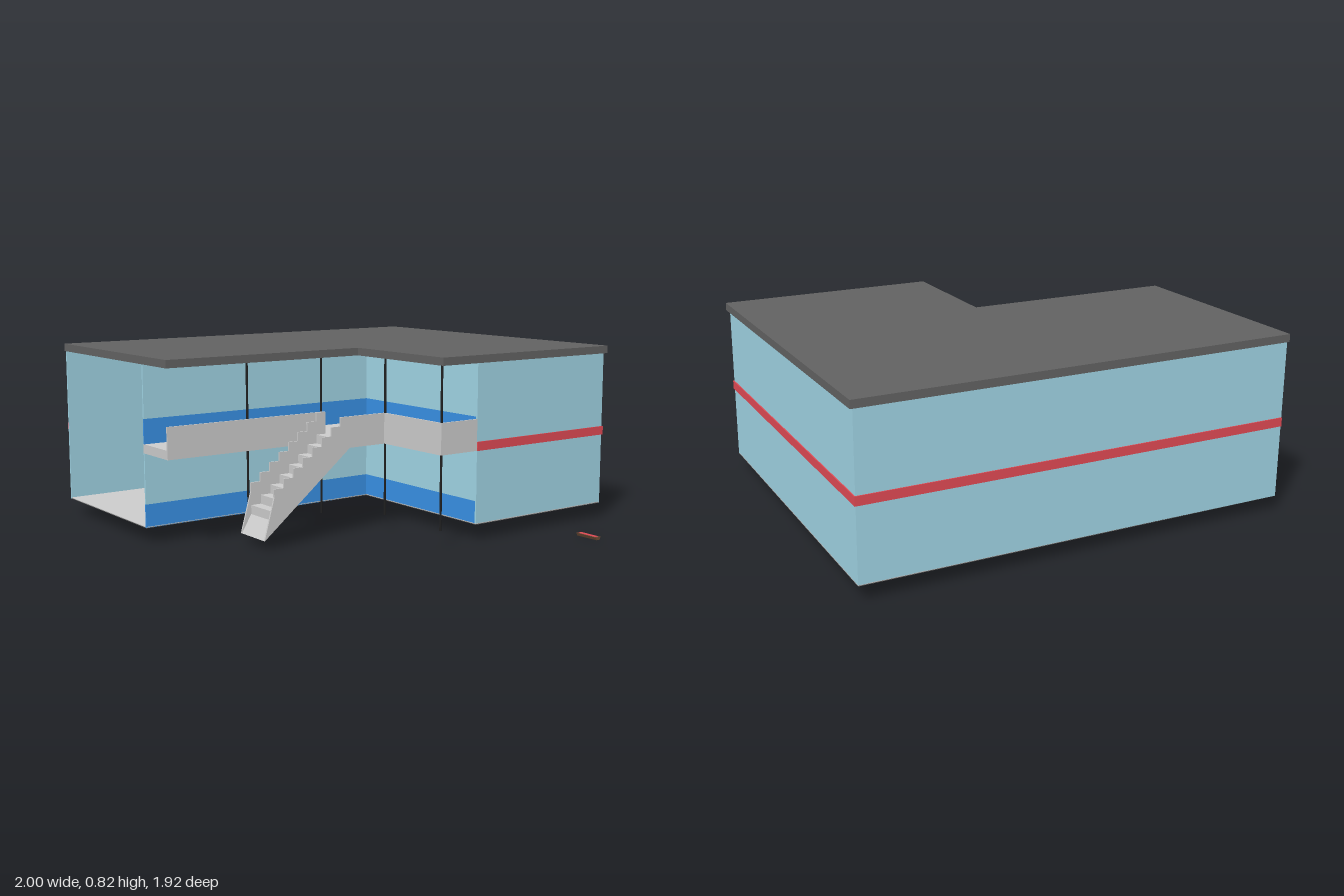
import * as THREE from 'three';

const paint = (color) => new THREE.MeshStandardMaterial({ color, side: THREE.DoubleSide, flatShading: true });
const M = {
  grey: paint(0xcccccc),
  wall: paint(0xa0d4e4),
  blue: paint(0x3890e4),
  red: paint(0xe04a54),
  dark: paint(0x626262),
  black: paint(0x202020),
  brown: paint(0x6a4a34),
};

export function createModel() {
  const model = new THREE.Group();

  const add = (name, geometry, material) => {
    const mesh = new THREE.Mesh(geometry, material);
    mesh.name = name;
    model.add(mesh);
    return mesh;
  };
  // box given by its limits on each axis
  const box = (name, material, [x0, x1], [y0, y1], [z0, z1]) => {
    const g = new THREE.BoxGeometry(x1 - x0, y1 - y0, z1 - z0);
    g.translate((x0 + x1) / 2, (y0 + y1) / 2, (z0 + z1) / 2);
    return add(name, g, material);
  };
  const extrude = (points, depth) => new THREE.ExtrudeGeometry(
    new THREE.Shape(points.map(([a, b]) => new THREE.Vector2(a, b))), { depth, bevelEnabled: false });
  // horizontal slab from an x,z outline
  const slab = (name, material, outline, y0, y1) => add(name,
    extrude(outline.map(([x, z]) => [x, -z]), y1 - y0).rotateX(-Math.PI / 2).translate(0, y0, 0), material);

  const T = 0.008;                       // wall thickness
  const base = 0.07, top = 0.785;        // wall heights
  const floorY = 0.4, deckY = 0.44, railY = 0.54;
  const L = -1, R = 0.985, back = -0.95, front = 0.64;
  const inX = 0.197, inZ = -0.16;        // recessed walls
  const edgeZ = 0.05, stairZ = 0.245;    // balcony edge, outer stair side

  // L-shaped roof and ground floor
  slab('roof', M.dark, [[-1, -0.965], [1, -0.965], [1, 0.65], [-0.01, 0.65], [-0.01, edgeZ], [-1, edgeZ]], top, 0.82);
  const plan = [[L, back], [R, back], [R, front], [inX, front], [inX, inZ], [L, inZ]];
  slab('floorUnderside', M.dark, plan, base, base + 0.003);
  slab('floor', M.grey, plan, base + 0.003, base + 0.006);

  // outer walls; the end at the model's right is open
  box('backWall', M.wall, [L, R], [base, top], [back, back + T]);
  box('sideWall', M.wall, [R - T, R], [base, top], [back, front]);
  box('frontWall', M.wall, [inX, R], [base, top], [front - T, front]);

  // red band round the outer walls
  const B = 0.005;
  box('backBand', M.red, [L, R + B], [floorY, deckY], [back - B, back]);
  box('sideBand', M.red, [R, R + B], [floorY, deckY], [back, front + B]);
  box('frontBand', M.red, [inX, R + B], [floorY, deckY], [front, front + B]);

  // recessed walls in horizontal strips, one set per storey
  const strips = [
    ['lowerPanel', M.blue, base, 0.175],
    ['lowerGlazing', M.wall, 0.175, floorY],
    ['storeyEdge', M.grey, floorY, deckY],
    ['upperPanel', M.blue, deckY, 0.55],
    ['upperGlazing', M.wall, 0.55, top],
  ];
  for (const [name, material, y0, y1] of strips) {
    box(name + 'Front', material, [L, inX], [y0, y1], [inZ - T, inZ]);
    box(name + 'Side', material, [inX, inX + T], [y0, y1], [inZ, front - T]);
  }

  // balcony deck with the landing at the head of the stairs
  slab('balconyDeck', M.grey, [[L, inZ], [inX, inZ], [inX, front], [0, front], [0, stairZ],
    [-0.2, stairZ], [-0.2, edgeZ], [L, edgeZ]], floorY, deckY);
  const rail = [floorY, railY];
  box('balconyParapet', M.grey, [L, -0.2], rail, [edgeZ - T, edgeZ]);
  box('landingParapet', M.grey, [-0.2, 0], rail, [stairZ - T, stairZ]);
  box('innerParapet', M.grey, [-T, 0], rail, [stairZ, front]);
  box('frontParapet', M.grey, [-T, inX], rail, [front - T, front]);

  // stairs: a stepped outline over a sloping underside
  const steps = 9, run = 0.05, rise = 0.04, startX = -0.65;
  const outline = (firstY) => {
    const points = [[startX, 0.04]];
    for (let i = steps - 1; i >= 0; i--) {
      const y = firstY + i * rise;
      points.splice(1, 0, [startX + i * run, y], [startX + (i + 1) * run, y]);
    }
    // run the steps upwards from the foot, then close along the slope
    const stepped = [];
    for (let i = 0; i < steps; i++) {
      const y = firstY + i * rise;
      stepped.push([startX + i * run, y], [startX + (i + 1) * run, y]);
    }
    return [points[0].slice(), ...stepped.slice(1), [startX + steps * run, floorY], [startX, 0.04]];
  };
  add('stairFlight', extrude(outline(0.12), stairZ - edgeZ - 2 * T).translate(0, 0, edgeZ + T), M.grey);
  for (const z of [edgeZ, stairZ - T])
    add('stairParapet', extrude(outline(0.22), T).translate(0, 0, z), M.grey);

  // slim posts carrying the roof
  for (const [x, z] of [[-0.603, 0.04], [-0.211, 0.04], [-0.003, 0.245], [-0.003, 0.635]])
    add('post', new THREE.CylinderGeometry(0.005, 0.005, top - base, 8).translate(x, (top + base) / 2, z), M.black);

  // small tapered trough with a red top, standing in front
  const trough = extrude([[-0.009, 0], [0.009, 0], [0.015, 0.013], [-0.015, 0.013]], 0.116);
  add('trough', trough.translate(0.635, 0, 0.842), M.brown);
  box('troughTop', M.red, [0.626, 0.644], [0.012, 0.0145], [0.85, 0.95]);

  return model;
}
